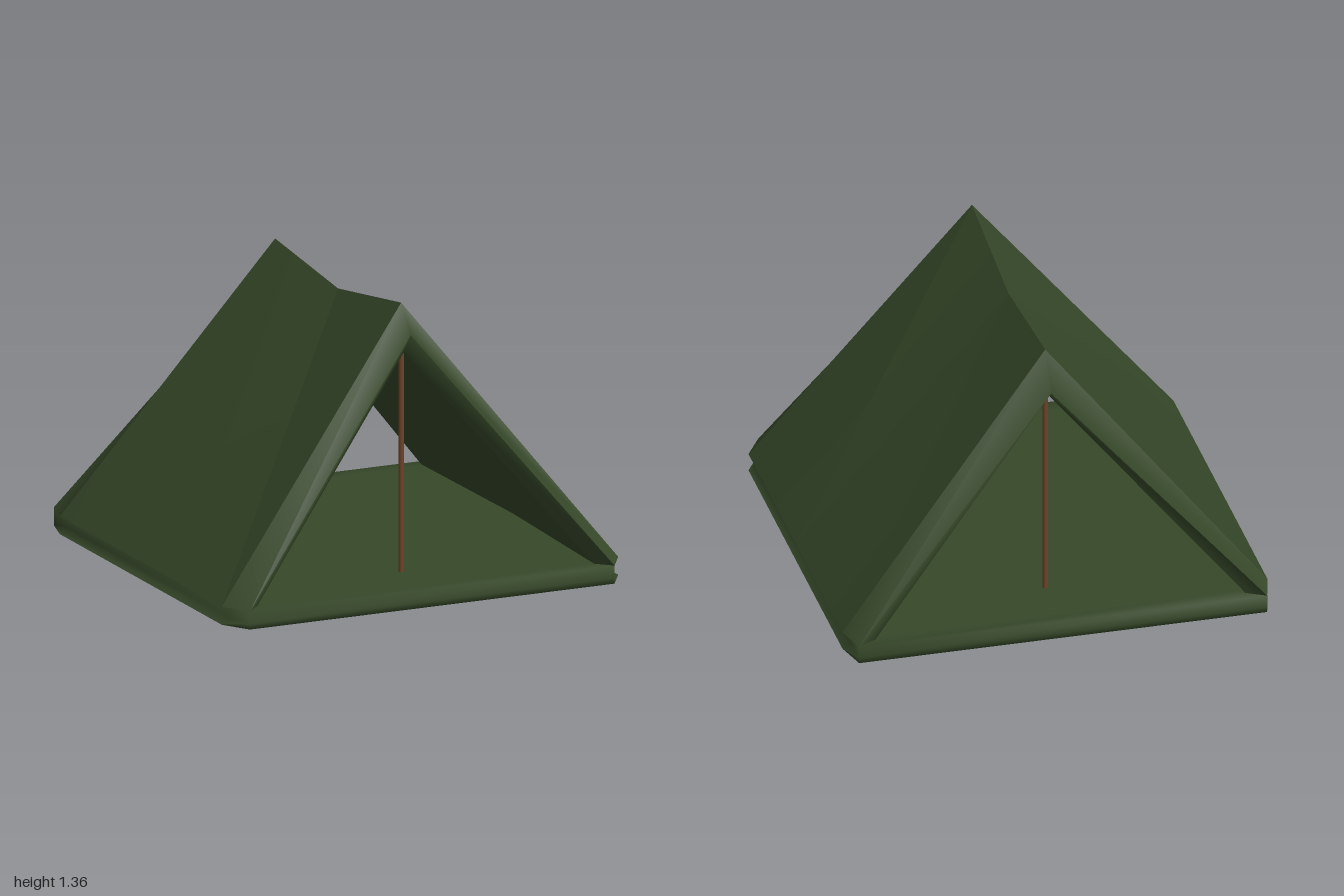
import * as THREE from 'three';
import { toCreasedNormals } from 'three/addons/utils/BufferGeometryUtils.js';

const canvas = new THREE.MeshStandardMaterial({ color: 0x364829, side: THREE.DoubleSide });
canvas.name = 'green canvas';
const wood = new THREE.MeshStandardMaterial({ color: 0x6e4228 });
wood.name = 'brown wood';

const BASE_Y = 0.09;

// Builds a geometry from quads of [x, y, z] corners
function quadGeometry(quads, crease) {
  const pos = [];
  for (const [a, b, c, d] of quads) pos.push(...a, ...b, ...c, ...a, ...c, ...d);
  const geo = new THREE.BufferGeometry();
  geo.setAttribute('position', new THREE.Float32BufferAttribute(pos, 3));
  return toCreasedNormals(geo, crease);
}

// Rafter lines around the thick cloth: ridge height, ridge z, base x, base z
const rafters = {
  outerBack: [1.33, -0.67, 1.0, -0.85],
  outerMid: [1.26, 0, 1.0, 0],
  outerFront: [1.36, 0.67, 1.0, 0.87],
  lipFront: [1.23, 0.77, 0.92, 1.0],
  innerFront: [1.135, 0.7, 0.85, 0.93],
  innerMid: [1.07, 0, 0.885, 0],
  innerBack: [1.12, -0.71, 0.87, -0.95],
  lipBack: [1.16, -0.78, 0.96, -1.0],
};

// Cloth strips between consecutive rafter lines, mirrored on both slopes
function strips(names) {
  const quads = [];
  for (let i = 0; i < names.length - 1; i++) {
    const [ay, az, ax, abz] = rafters[names[i]];
    const [by, bz, bx, bbz] = rafters[names[i + 1]];
    for (const s of [1, -1]) {
      const quad = [[s * ax, BASE_Y, abz], [0, ay, az], [0, by, bz], [s * bx, BASE_Y, bbz]];
      quads.push(s > 0 ? quad : quad.reverse());
    }
  }
  return quads;
}

// Undersides of the slopes, where they rest on the floor
function hems() {
  const foot = (name, s) => [s * rafters[name][2], BASE_Y, rafters[name][3]];
  const patches = [
    ['lipBack', 'outerBack', 'innerBack', 'lipBack'],
    ['outerBack', 'outerMid', 'innerMid', 'innerBack'],
    ['outerMid', 'outerFront', 'innerFront', 'innerMid'],
    ['outerFront', 'lipFront', 'innerFront', 'outerFront'],
  ];
  const quads = [];
  for (const s of [1, -1]) {
    for (const patch of patches) {
      const quad = patch.map((name) => foot(name, s));
      quads.push(s > 0 ? quad : quad.reverse());
    }
  }
  return quads;
}

// Floor: stacked eight-sided loops with a groove along the sides
function floorQuads() {
  const plan = [[0.92, 1], [1, 0.87], [1, -0.85], [0.96, -1], [-0.96, -1], [-1, -0.85], [-1, 0.87], [-0.92, 1]];
  const layers = [ // height, scale, widest x
    [0.005, 0, 1], [0.005, 0.93, 1], [0.005, 1, 1], [0.03, 1, 0.96],
    [BASE_Y, 1, 0.96], [BASE_Y, 0.92, 1], [BASE_Y, 0, 1],
  ];
  const loops = layers.map(([y, k, maxX]) => plan.map(([x, z]) =>
    [THREE.MathUtils.clamp(x * k, -maxX, maxX), y, z * k]));
  const quads = [];
  for (let j = 0; j < loops.length - 1; j++) {
    for (let i = 0; i < plan.length; i++) {
      const n = (i + 1) % plan.length;
      quads.push([loops[j][i], loops[j][n], loops[j + 1][n], loops[j + 1][i]]);
    }
  }
  return quads;
}

export function createModel() {
  const tent = new THREE.Group();
  tent.name = 'tent';

  const add = (name, geometry, material) => {
    const mesh = new THREE.Mesh(geometry, material);
    mesh.name = name;
    tent.add(mesh);
    return mesh;
  };

  add('floor', quadGeometry(floorQuads(), 1.7), canvas);
  add('roofOutside', quadGeometry(strips(['outerBack', 'outerMid', 'outerFront']), 0.1), canvas);
  add('roofInside', quadGeometry(strips(['innerFront', 'innerMid', 'innerBack']), 0.1), canvas);
  add('frontTrim', quadGeometry(strips(['outerFront', 'lipFront', 'innerFront']), 1.7), canvas);
  add('backTrim', quadGeometry(strips(['innerBack', 'lipBack', 'outerBack']), 1.7), canvas);
  add('roofHems', quadGeometry(hems(), 0.1), canvas);

  // Upright poles under both ends of the ridge
  for (const [name, z] of [['frontPole', 0.67], ['backPole', -0.67]]) {
    const pole = add(name, new THREE.CylinderGeometry(0.013, 0.013, 1.16, 12), wood);
    pole.position.set(0, 0.58, z);
  }
  return tent;
}
